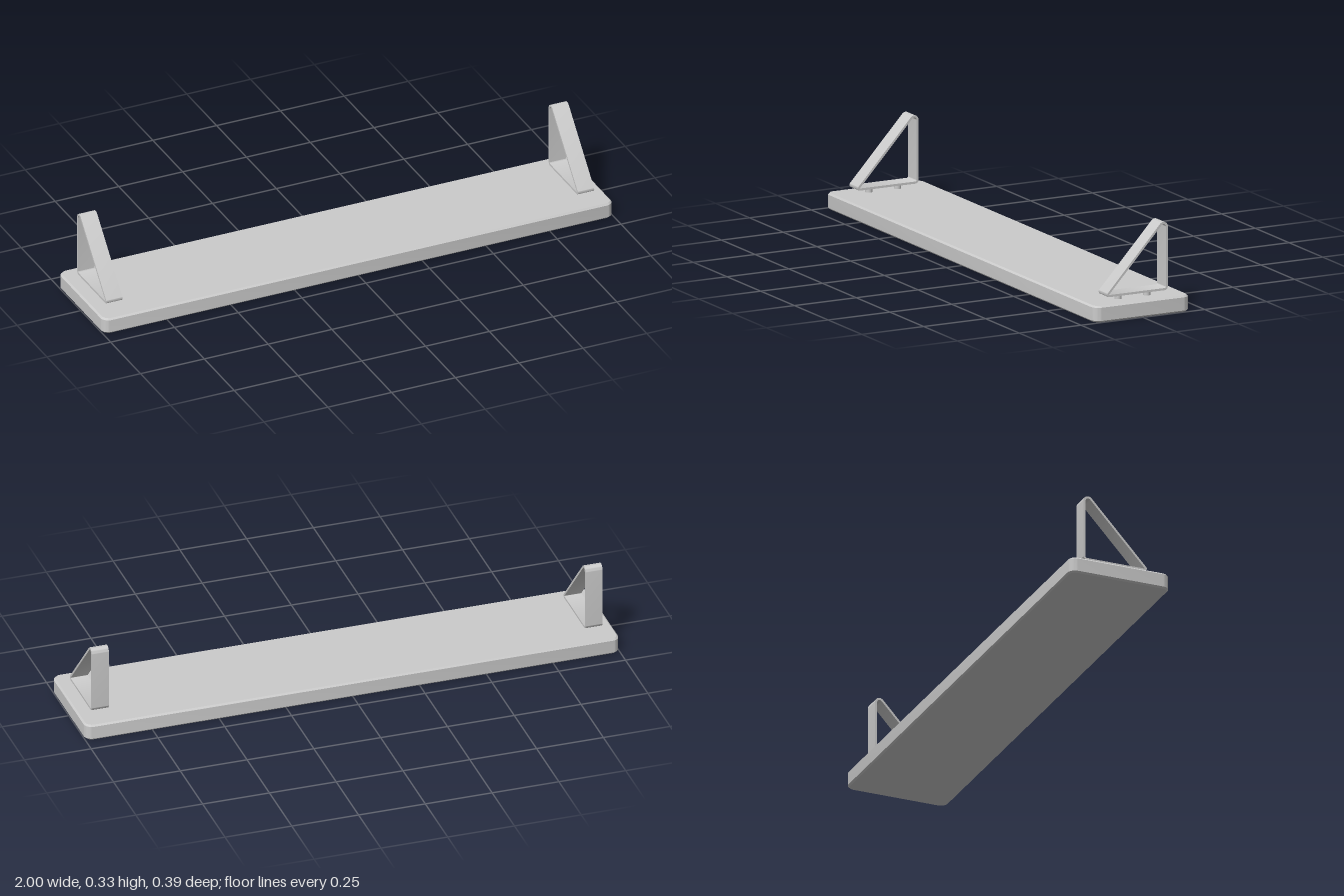
import * as THREE from 'three';
import { toCreasedNormals } from 'three/addons/utils/BufferGeometryUtils.js';

const material = new THREE.MeshStandardMaterial({ color: 0xcccccc });

function part(name, geometry) {
  const mesh = new THREE.Mesh(geometry, material);
  mesh.name = name;
  return mesh;
}

// Board: rounded rectangle with a small chamfer top and bottom
function createBoard() {
  const bevel = 0.006, height = 0.06, r = 0.024;
  const w = 1 - bevel, d = 0.194 - bevel;
  const shape = new THREE.Shape();
  [[1, 1], [-1, 1], [-1, -1], [1, -1]].forEach(([sx, sy], i) => {
    shape.absarc(sx * (w - r), sy * (d - r), r, i * Math.PI / 2, (i + 1) * Math.PI / 2, false);
  });
  shape.closePath();
  const geometry = new THREE.ExtrudeGeometry(shape, {
    depth: height - 2 * bevel, bevelThickness: bevel, bevelSize: bevel, bevelSegments: 1, curveSegments: 6,
  });
  geometry.rotateX(-Math.PI / 2).translate(0, bevel, 0);
  return part('board', toCreasedNormals(geometry, 0.6));
}

// Triangular outline with rounded corners, inset by a wall thickness (shape x = model z)
function traceTriangle(path, inset) {
  const slope = THREE.MathUtils.degToRad(42.7);
  const corners = [
    [0.111, 0.086, 0.009, -Math.PI / 2, slope],
    [-0.107, 0.309, 0.018, slope, Math.PI],
    [-0.112, 0.09, 0.013, Math.PI, Math.PI * 1.5],
  ];
  for (const [z, y, r, from, to] of corners) path.absarc(z, y, r - inset, from, to, false);
  path.closePath();
  return path;
}

// Bracket: bent flat strip forming a triangle, standing on two short pegs
function createBracket(name, x) {
  const group = new THREE.Group();
  group.name = name;
  group.position.x = x;

  const width = 0.064;
  const shape = traceTriangle(new THREE.Shape(), 0);
  shape.holes.push(traceTriangle(new THREE.Path(), 0.008));
  const strip = new THREE.ExtrudeGeometry(shape, { depth: width, bevelEnabled: false, curveSegments: 8 });
  strip.rotateY(-Math.PI / 2).translate(width / 2, 0, 0);
  group.add(part('triangleStrip', toCreasedNormals(strip, 0.6)));

  for (const [pegName, z] of [['frontPeg', 0.059], ['backPeg', -0.057]]) {
    const peg = part(pegName, new THREE.CylinderGeometry(0.013, 0.013, 0.02, 24));
    peg.position.set(0, 0.068, z);
    group.add(peg);
  }
  return group;
}

export function createModel() {
  const model = new THREE.Group();
  model.name = 'shelf';
  model.add(createBoard(), createBracket('leftBracket', 0.924), createBracket('rightBracket', -0.924));
  return model;
}
